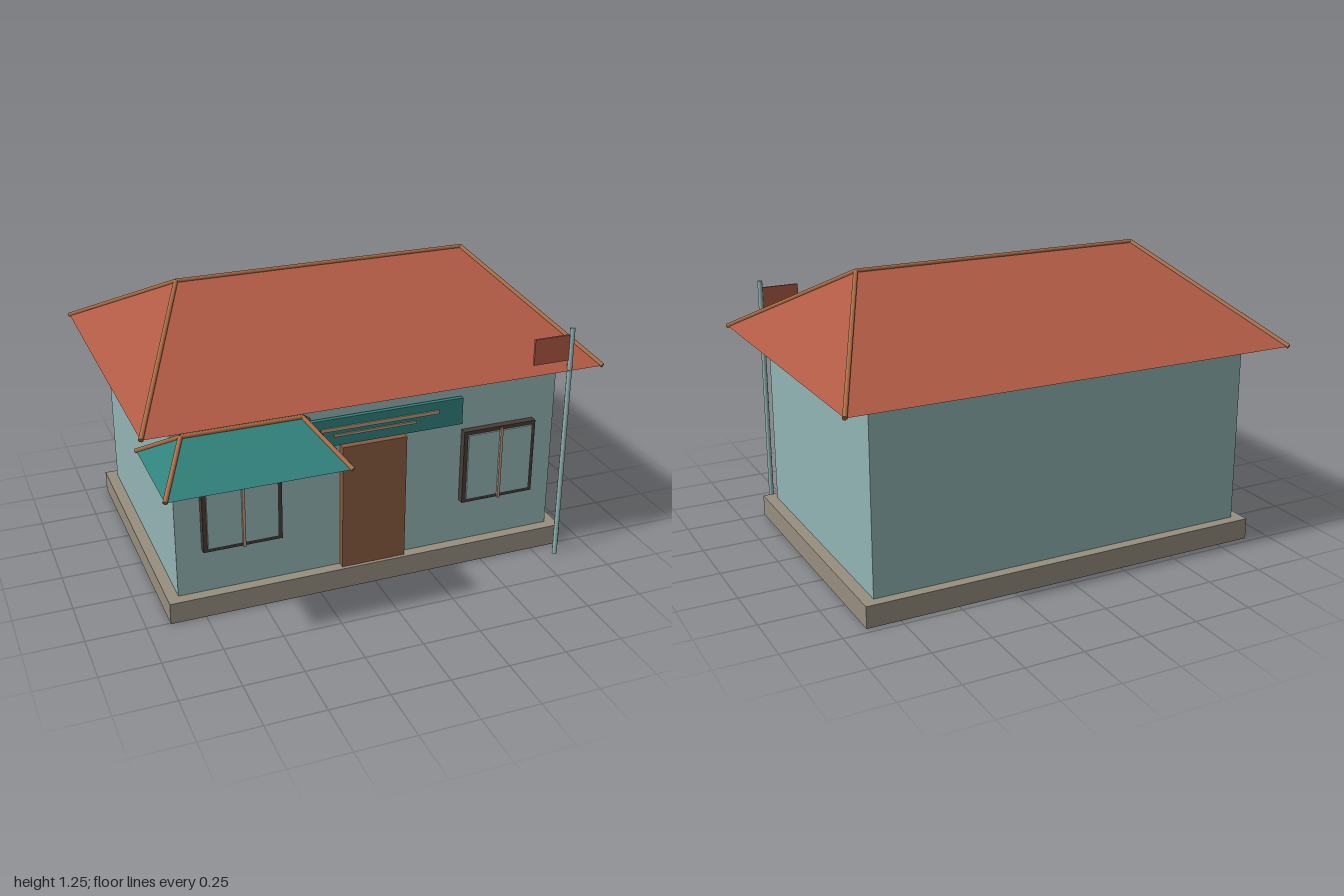
import * as THREE from 'three';

const mat = (name, color) => {
  const m = new THREE.MeshStandardMaterial({ color });
  m.name = name;
  return m;
};

export function createModel() {
  const house = new THREE.Group();
  house.name = 'house';

  const wall = mat('pale blue wall', 0x93b5b5);
  const roofRed = mat('roof red', 0xb05a44);
  const teal = mat('teal', 0x2f827c);
  const stone = mat('foundation stone', 0x978f7f);
  const wood = mat('door wood', 0x8a5d40);
  const trim = mat('trim orange brown', 0xa86a42);
  const frame = mat('dark window frame', 0x4a3b35);
  const tan = mat('tan', 0xb59a80);

  const add = (name, geometry, material, parent = house) => {
    const mesh = new THREE.Mesh(geometry, material);
    mesh.name = name;
    parent.add(mesh);
    return mesh;
  };

  // Box given by its extents along each axis
  const box = (name, material, [x0, x1], [y0, y1], [z0, z1], parent) => {
    const mesh = add(name, new THREE.BoxGeometry(x1 - x0, y1 - y0, z1 - z0), material, parent);
    mesh.position.set((x0 + x1) / 2, (y0 + y1) / 2, (z0 + z1) / 2);
    return mesh;
  };

  // Round bar between two points
  const up = new THREE.Vector3(0, 1, 0);
  const bar = (name, material, a, b, radius, parent) => {
    const dir = b.clone().sub(a);
    const mesh = add(name, new THREE.CylinderGeometry(radius, radius, dir.length(), 8), material, parent);
    mesh.position.copy(a).add(b).multiplyScalar(0.5);
    mesh.quaternion.setFromUnitVectors(up, dir.normalize());
  };

  // Closed hipped roof with trim along its ridge and hips
  const hipRoof = (name, material, { x, z, ridgeX, eaveY, ridgeY }, radius) => {
    const group = new THREE.Group();
    group.name = name;
    house.add(group);
    const v = (px, py, pz) => new THREE.Vector3(px, py, pz);
    const zMid = (z[0] + z[1]) / 2;
    const fl = v(x[0], eaveY, z[1]), fr = v(x[1], eaveY, z[1]);
    const br = v(x[1], eaveY, z[0]), bl = v(x[0], eaveY, z[0]);
    const rl = v(ridgeX[0], ridgeY, zMid), rr = v(ridgeX[1], ridgeY, zMid);
    const points = [
      fl, fr, rr, fl, rr, rl, // front slope
      br, bl, rl, br, rl, rr, // back slope
      fr, br, rr, bl, fl, rl, // ends
      fl, bl, br, fl, br, fr, // underside
    ];
    const geometry = new THREE.BufferGeometry().setFromPoints(points);
    geometry.computeVertexNormals();
    add(name + 'Slopes', geometry, material, group);
    bar('ridgeTrim', trim, rl, rr, radius, group);
    for (const [eave, top] of [[fl, rl], [bl, rl], [fr, rr], [br, rr]]) {
      bar('hipTrim', trim, eave, top, radius, group);
    }
  };

  // Foundation and walls
  box('foundation', stone, [-0.9, 0.893], [0, 0.093], [-0.722, 0.506]);
  box('walls', wall, [-0.852, 0.843], [0.093, 0.885], [-0.676, 0.458]);

  // Main roof, and porch roof running into the front wall
  hipRoof('mainRoof', roofRed, {
    x: [-0.99, 0.985], z: [-0.812, 0.592], ridgeX: [-0.653, 0.65], eaveY: 0.887, ridgeY: 1.238,
  }, 0.01);
  hipRoof('porchRoof', teal, {
    x: [-0.963, -0.23], z: [0.36, 0.812], ridgeX: [-0.838, -0.352], eaveY: 0.731, ridgeY: 0.873,
  }, 0.01);

  // Door
  box('door', wood, [-0.145, 0.14], [0.093, 0.657], [0.45, 0.49]);

  // Sign board with plain stripes
  box('signBoard', teal, [-0.4, 0.39], [0.673, 0.793], [0.472, 0.492]);
  box('signStripe', tan, [-0.24, 0.28], [0.741, 0.757], [0.49, 0.498]);
  box('signStripe', tan, [-0.185, 0.178], [0.714, 0.725], [0.49, 0.498]);

  // Windows: frame, pane and centre bar
  for (const cx of [-0.577, 0.573]) {
    const win = new THREE.Group();
    win.name = 'window';
    win.position.x = cx;
    house.add(win);
    box('windowFrame', frame, [-0.168, 0.168], [0.292, 0.63], [0.45, 0.49], win);
    box('windowPane', wall, [-0.15, 0.15], [0.309, 0.613], [0.489, 0.498], win);
    box('windowBar', tan, [-0.006, 0.006], [0.295, 0.628], [0.498, 0.508], win);
  }

  // Flagpole and flag
  bar('flagpole', wall, new THREE.Vector3(0.831, 0, 0.582), new THREE.Vector3(0.831, 1.075, 0.582), 0.011);
  box('flag', roofRed, [0.66, 0.825], [0.932, 1.045], [0.574, 0.584]);

  return house;
}
